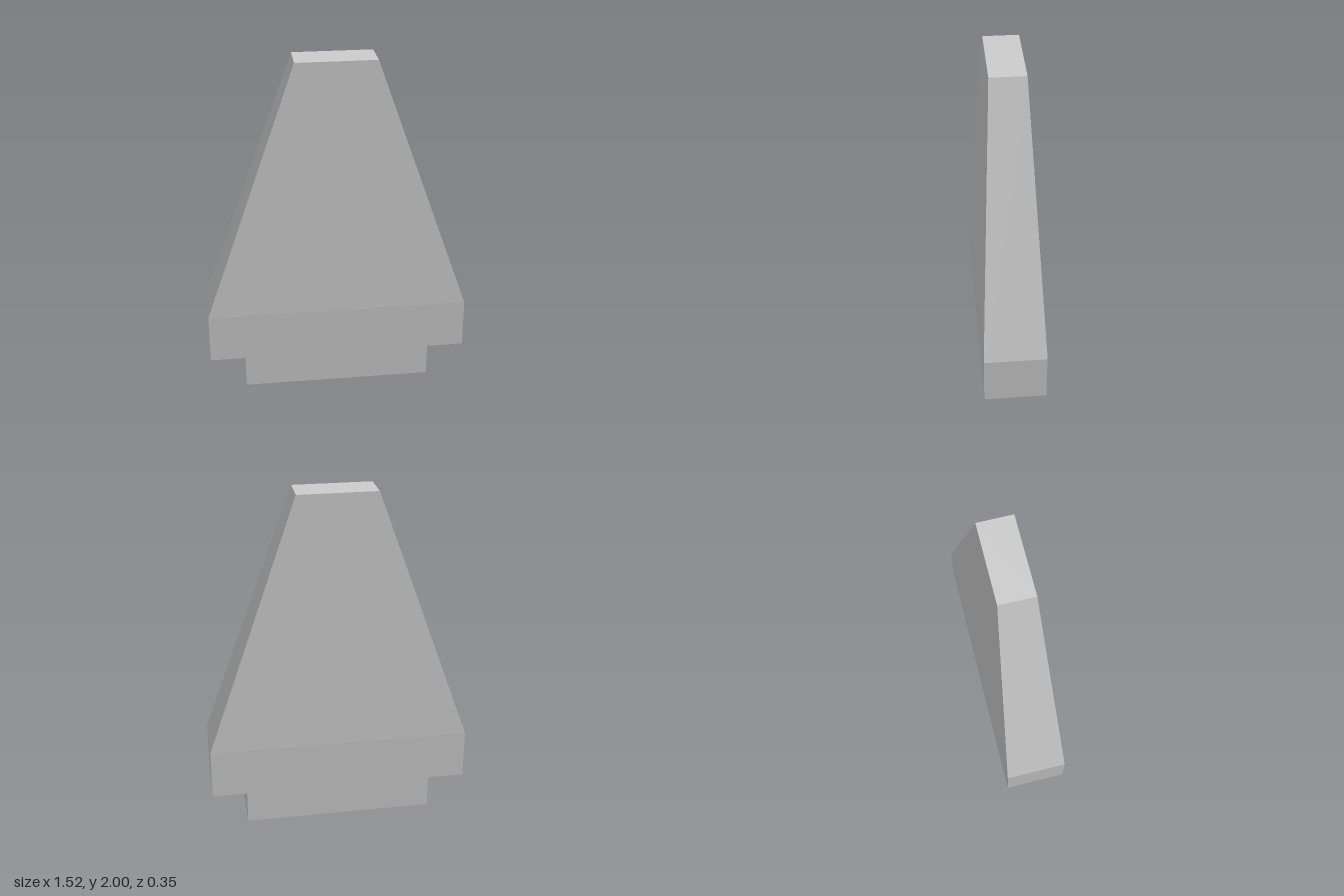
import * as THREE from 'three';

const material = new THREE.MeshStandardMaterial({ color: 0xcccccc, flatShading: true });

// Box from y0 to y1 whose top is resized to topW x topD
function taperedBlock(name, y0, y1, w, d, topW = w, topD = d) {
  const geometry = new THREE.BoxGeometry(w, y1 - y0, d);
  geometry.translate(0, (y0 + y1) / 2, 0);
  const p = geometry.attributes.position;
  const mid = (y0 + y1) / 2;
  for (let i = 0; i < p.count; i++) {
    if (p.getY(i) > mid) {
      p.setX(i, Math.sign(p.getX(i)) * topW / 2);
      p.setZ(i, Math.sign(p.getZ(i)) * topD / 2);
    }
  }
  geometry.computeVertexNormals();
  const mesh = new THREE.Mesh(geometry, material);
  mesh.name = name;
  return mesh;
}

export function createModel() {
  const group = new THREE.Group();
  group.name = 'taperedKey';
  group.add(
    // narrow tab the model stands on
    taperedBlock('baseTab', 0, 0.22, 1.11, 0.274),
    // straight collar above the tab
    taperedBlock('collar', 0.22, 0.51, 1.52, 0.355),
    // long body narrowing to a small flat top
    taperedBlock('taperedBody', 0.51, 2, 1.52, 0.355, 0.455, 0.2),
  );
  return group;
}
